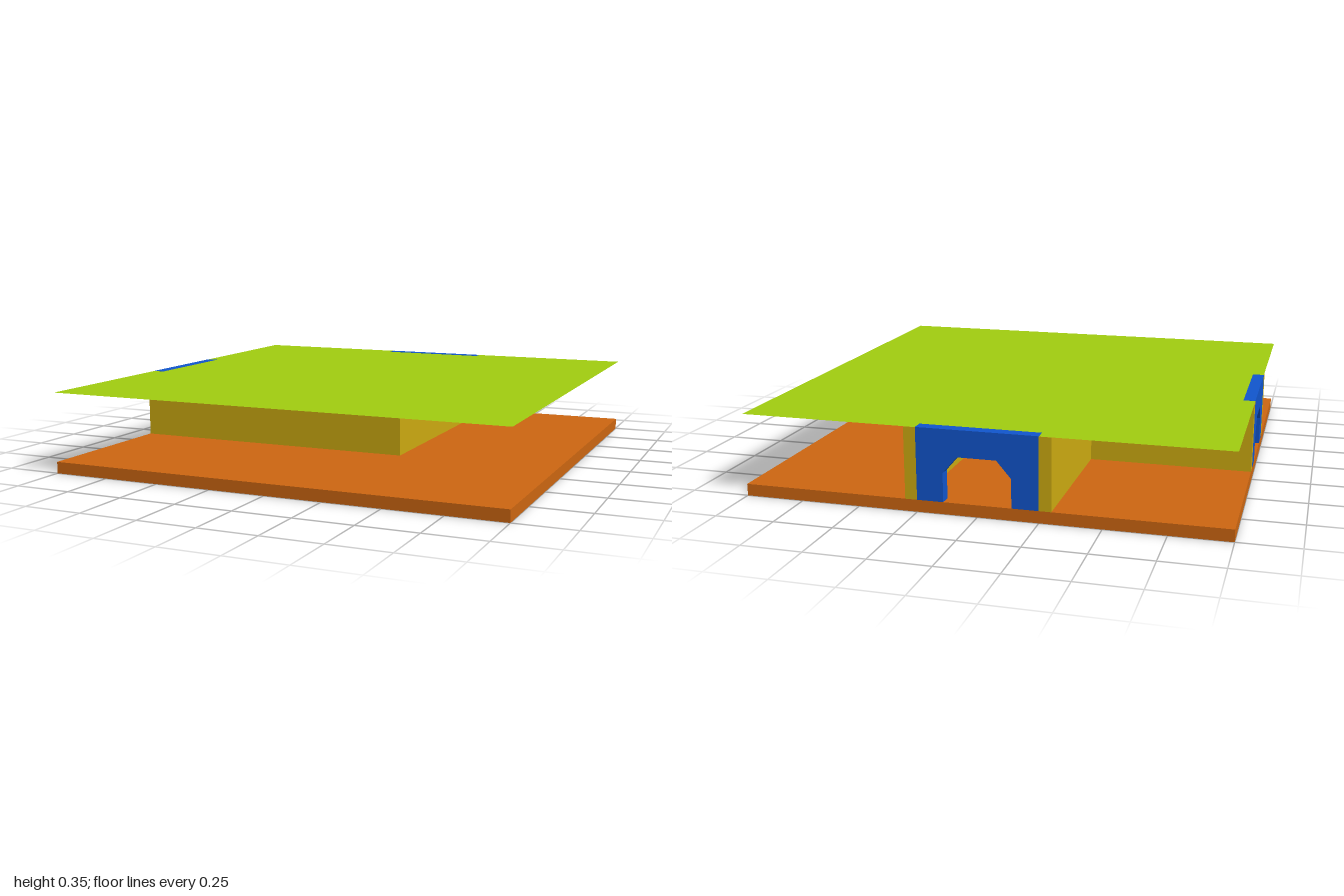
import * as THREE from 'three';

const paint = (color) => new THREE.MeshStandardMaterial({ color, side: THREE.DoubleSide, flatShading: true });

export function createModel() {
  const model = new THREE.Group();
  const orange = paint(0xcc6611), yellow = paint(0xccaa11), green = paint(0xa0cc10), blue = paint(0x1155cc);

  const FLOOR = 0.05, TOP = 0.35, T = 0.05, HALF = 0.25;
  const EPS = 0.0005; // keeps coplanar tops from flickering

  const add = (name, geometry, material) => {
    const mesh = new THREE.Mesh(geometry, material);
    mesh.name = name;
    model.add(mesh);
    return mesh;
  };

  // Floor tray: a shallow slab, open underneath
  const slab = new THREE.BoxGeometry(2, FLOOR, 2);
  const index = Array.from(slab.index.array);
  index.splice(18, 6); // drop the bottom face
  slab.setIndex(index);
  slab.clearGroups();
  add('floorTray', slab, orange).position.y = FLOOR / 2;

  // Thin flat roof
  const roof = new THREE.PlaneGeometry(2, 2).rotateX(-Math.PI / 2);
  add('roof', roof, green).position.y = TOP;

  // Corridor walls, given by their extent on the floor
  const wall = (name, x0, x1, z0, z1) => {
    const h = TOP - FLOOR - EPS;
    add(name, new THREE.BoxGeometry(x1 - x0, h, z1 - z0), yellow)
      .position.set((x0 + x1) / 2, FLOOR + h / 2, (z0 + z1) / 2);
  };
  wall('outerFrontWall', -1, HALF, HALF, HALF + T);
  wall('outerSideWall', HALF, HALF + T, -1, HALF);
  wall('outerCornerPost', HALF, HALF + T, HALF, HALF + T);
  wall('innerBackWall', -1, -HALF - T, -HALF - T, -HALF);
  wall('innerSideWall', -HALF - T, -HALF, -1, -HALF - T);
  wall('innerCornerPost', -HALF - T, -HALF, -HALF - T, -HALF);

  // Doorways: a panel with a faceted arch cut up from the floor
  const h = TOP - FLOOR + EPS;
  const outline = [
    [-HALF, 0], [-0.14, 0], [-0.14, 0.12], [-0.08, 0.19], [0.08, 0.19],
    [0.14, 0.12], [0.14, 0], [HALF, 0], [HALF, h], [-HALF, h],
  ].map(([x, y]) => new THREE.Vector2(x, y));
  const panel = new THREE.ExtrudeGeometry(new THREE.Shape(outline), { depth: T, bevelEnabled: false });
  add('backDoorway', panel, blue).position.set(0, FLOOR, -1);
  const side = add('sideDoorway', panel, blue);
  side.position.set(-1, FLOOR, 0);
  side.rotation.y = Math.PI / 2;

  return model;
}
